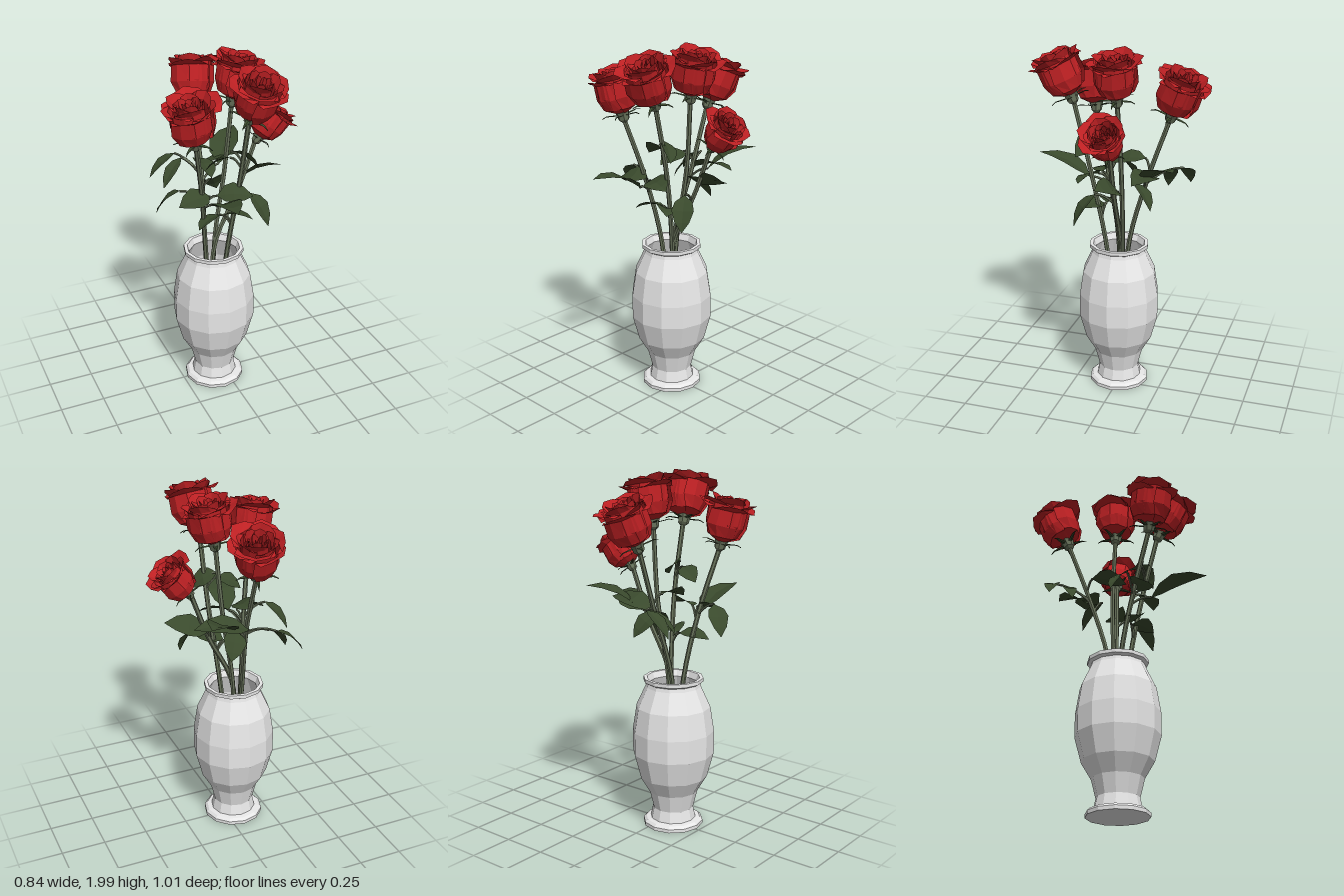
import * as THREE from 'three';

const V = (a) => new THREE.Vector3(...a);
const mat = (name, color, side = THREE.FrontSide) => {
  const m = new THREE.MeshStandardMaterial({ color, side, flatShading: true });
  m.name = name;
  return m;
};

// Split faces so every facet has its own normal
function flat(geo) {
  const g = geo.index ? geo.toNonIndexed() : geo;
  g.computeVertexNormals();
  return g;
}

// Surface through equally long rows of points
function loft(rows) {
  const n = rows[0].length, index = [];
  for (let i = 0; i < rows.length - 1; i++) {
    for (let j = 0; j < n - 1; j++) {
      const a = i * n + j, b = a + 1, c = a + n, d = c + 1;
      index.push(a, b, d, a, d, c);
    }
  }
  const g = new THREE.BufferGeometry().setFromPoints(rows.flat());
  g.setIndex(index);
  return flat(g);
}

export function createModel() {
  const root = new THREE.Group();
  const white = mat('vaseWhite', 0xe8e8e8);
  const red = mat('petalRed', 0xbd2023, THREE.DoubleSide);
  const green = mat('leafGreen', 0x3a4a2d, THREE.DoubleSide);
  const stemGreen = mat('stemGreen', 0x667059, THREE.DoubleSide);
  const add = (parent, name, geo, material) => {
    const m = new THREE.Mesh(geo, material);
    m.name = name;
    parent.add(m);
    return m;
  };

  // Vase: outer wall up, over the rim, then down the inside
  const profile = [
    [0, 0], [0.17, 0], [0.17, 0.02], [0.155, 0.034], [0.128, 0.038], [0.115, 0.1], [0.14, 0.2],
    [0.193, 0.29], [0.23, 0.43], [0.23, 0.56], [0.208, 0.7], [0.155, 0.815], [0.15, 0.835],
    [0.168, 0.845], [0.168, 0.865], [0.148, 0.865], [0.135, 0.83], [0.19, 0.7], [0.21, 0.5],
    [0.175, 0.3], [0.1, 0.12], [0, 0.1],
  ].map(([x, y]) => new THREE.Vector2(x, y));
  add(root, 'vase', flat(new THREE.LatheGeometry(profile, 12)), white).position.set(-0.06, 0, 0.01);

  // Petal: a curved patch round the y axis, its pointed lip turned out by flare
  function petal(angle, half, radius, height, flare, twist) {
    const shape = [[0.2, 0, 0.5], [0.8, 0.15, 0.85], [1.02, 0.42, 1], [0.95, 0.8, 0.95], [1, 1, 0.75]];
    return loft(shape.map(([r, h, w], i) => [-1, -0.55, 0, 0.55, 1].map((u) => {
      const edge = Math.abs(u), lip = i === 4 ? 1 : i === 3 ? 0.2 : 0;
      const rad = radius * r * (1 + twist * u) + flare * lip * (1 - 0.5 * edge);
      const y = height * h - (i === 4 ? 0.03 * edge * edge + flare * 0.4 : 0);
      const a = angle + u * half * w;
      return new THREE.Vector3(Math.cos(a) * rad, y, Math.sin(a) * rad);
    })));
  }

  // Rose head: petal rings [count, half angle, radius, height, flare]
  const rings = [
    [3, 1.15, 0.112, 0.23, 0.052], [3, 1.15, 0.103, 0.25, 0.046], [3, 1.15, 0.086, 0.26, 0.026],
    [3, 1.15, 0.066, 0.253, 0.014], [3, 1.15, 0.049, 0.248, 0.008], [3, 1.15, 0.033, 0.243, 0.004],
    [2, 1.6, 0.018, 0.238, 0],
  ];
  function rose(base, axis, size, turn) {
    const head = new THREE.Group();
    head.name = 'rose';
    rings.forEach(([n, half, r, h, flare], k) => {
      for (let i = 0; i < n; i++) {
        const a = turn + k * 1.05 + (i / n) * Math.PI * 2;
        const wobble = Math.sin(i * 2.7 + k * 1.9 + turn * 3);
        add(head, 'petal', petal(a, half, r, h + 0.008 * wobble, flare * (1 + 0.3 * wobble), 0.09), red);
      }
    });
    const hip = [[0.014, -0.05], [0.03, -0.035], [0.034, -0.01], [0.04, 0.01]];
    add(head, 'calyx', flat(new THREE.LatheGeometry(hip.map((p) => new THREE.Vector2(...p)), 7)), stemGreen);
    // Pointed sepals spreading below the petals
    for (let i = 0; i < 5; i++) {
      const rows = [[0.025, -0.008, 0.012], [0.06, -0.004, 0.011], [0.09, 0, 0.006], [0.115, -0.008, 0.001]]
        .map(([x, y, w]) => [V([x, y, w]), V([x, y - 0.004, 0]), V([x, y, -w])]);
      add(head, 'sepal', loft(rows), green).rotation.y = turn + i * Math.PI * 0.4;
    }
    head.position.copy(V(base));
    head.quaternion.setFromUnitVectors(new THREE.Vector3(0, 1, 0), V(axis).normalize());
    head.scale.setScalar(size);
    root.add(head);
  }

  // Flowers: head base, head axis, size, point at the vase mouth
  const flowers = [
    [[-0.05, 1.63, -0.285], [0.04, 0.27, -0.105], 1, [-0.09, 0.86, -0.04]],
    [[0.065, 1.72, -0.015], [0.05, 0.27, 0.005], 0.98, [-0.045, 0.86, -0.015]],
    [[0.22, 1.47, -0.02], [0.15, 0.18, 0], 0.82, [-0.05, 0.86, 0.0]],
    [[-0.235, 1.61, 0.2], [-0.05, 0.27, 0.035], 1, [-0.115, 0.86, 0.03]],
    [[0.05, 1.72, 0.245], [0.025, 0.26, 0.11], 1, [0.0, 0.86, 0.065]],
  ];
  const stems = flowers.map(([base, axis, size, mouth], i) => {
    rose(base, axis, size, i * 1.3);
    const top = V(base), low = V(mouth);
    const foot = low.clone().lerp(new THREE.Vector3(-0.06, 0.12, 0.01), 0.75);
    const neck = top.clone().addScaledVector(V(axis).normalize(), -0.04 * size);
    const mid = low.clone().lerp(neck, 0.55).add(new THREE.Vector3(0.012, 0, -0.012 * Math.sign(axis[2])));
    const curve = new THREE.CatmullRomCurve3([foot, low, mid, neck]);
    add(root, 'stem', flat(new THREE.TubeGeometry(curve, 14, 0.0135, 6)), stemGreen);
    return curve.getPoints(60);
  });

  // Leaf: folded along the midrib, arched and rolled, on a twig from its stem
  function leaf(stem, base, tip, width, roll) {
    const b = V(base), t = V(tip), dir = t.clone().sub(b), len = dir.length();
    dir.normalize();
    const side = new THREE.Vector3().crossVectors(dir, new THREE.Vector3(0, 1, 0)).normalize();
    side.applyAxisAngle(dir, -roll);
    const up = new THREE.Vector3().crossVectors(side, dir);
    const rows = [[0, 0.06], [0.2, 0.78], [0.45, 1], [0.75, 0.66], [1, 0.01]].map(([s, w]) => {
      const mid = b.clone().lerp(t, s).addScaledVector(up, Math.sin(s * Math.PI) * len * 0.1);
      return [-1, 0, 1].map((u) => mid.clone()
        .addScaledVector(side, u * w * width / 2)
        .addScaledVector(up, Math.abs(u) * w * width * 0.09));
    });
    add(root, 'leaf', loft(rows), green);
    const from = stems[stem].reduce((p, q) =>
      (Math.abs(q.y - b.y + 0.07) < Math.abs(p.y - b.y + 0.07) ? q : p));
    const bend = from.clone().lerp(b, 0.55).add(new THREE.Vector3(0, 0.035, 0));
    const twig = new THREE.QuadraticBezierCurve3(from, bend, b);
    add(root, 'twig', flat(new THREE.TubeGeometry(twig, 5, 0.007, 5)), stemGreen);
  }

  // Leaves: stem number, base, tip, width, roll
  [
    [0, [-0.15, 1.31, -0.33], [-0.3, 1.18, -0.34], 0.09, 0],
    [0, [-0.13, 1.3, -0.28], [-0.26, 1.16, -0.22], 0.085, 0],
    [0, [0.05, 1.28, -0.17], [0.23, 1.4, -0.37], 0.17, 0.1],
    [0, [-0.06, 1.27, -0.18], [0.24, 1.31, -0.15], 0.15, 0.3],
    [0, [-0.1, 1.36, -0.13], [-0.09, 1.32, 0.06], 0.13, 0.3],
    [0, [-0.03, 1.24, -0.08], [0.05, 1.11, -0.2], 0.13, 0.4],
    [2, [0.12, 1.23, -0.04], [0.34, 1.3, 0.02], 0.14, 0.6],
    [2, [0.12, 1.2, 0.09], [0.19, 1.03, 0.19], 0.12, 0],
    [3, [-0.28, 1.29, 0.08], [-0.385, 1.14, 0.0], 0.11, 0],
    [3, [-0.11, 1.22, 0.2], [-0.135, 1.33, 0.51], 0.16, 0],
    [3, [-0.13, 1.25, 0.13], [-0.31, 1.23, 0.15], 0.14, 0.4],
    [3, [-0.09, 1.25, 0.14], [0.09, 1.24, 0.2], 0.14, -0.4],
    [4, [-0.01, 1.49, 0.13], [0.12, 1.4, 0.2], 0.12, 0.6],
    [4, [-0.02, 1.46, 0.14], [-0.14, 1.39, 0.1], 0.11, -0.4],
    [4, [-0.05, 1.1, 0.08], [-0.2, 1.07, 0.15], 0.12, -0.3],
    [4, [-0.03, 1.1, 0.09], [0.09, 1.1, 0.2], 0.12, 0.3],
  ].forEach((l) => leaf(...l));

  return root;
}
